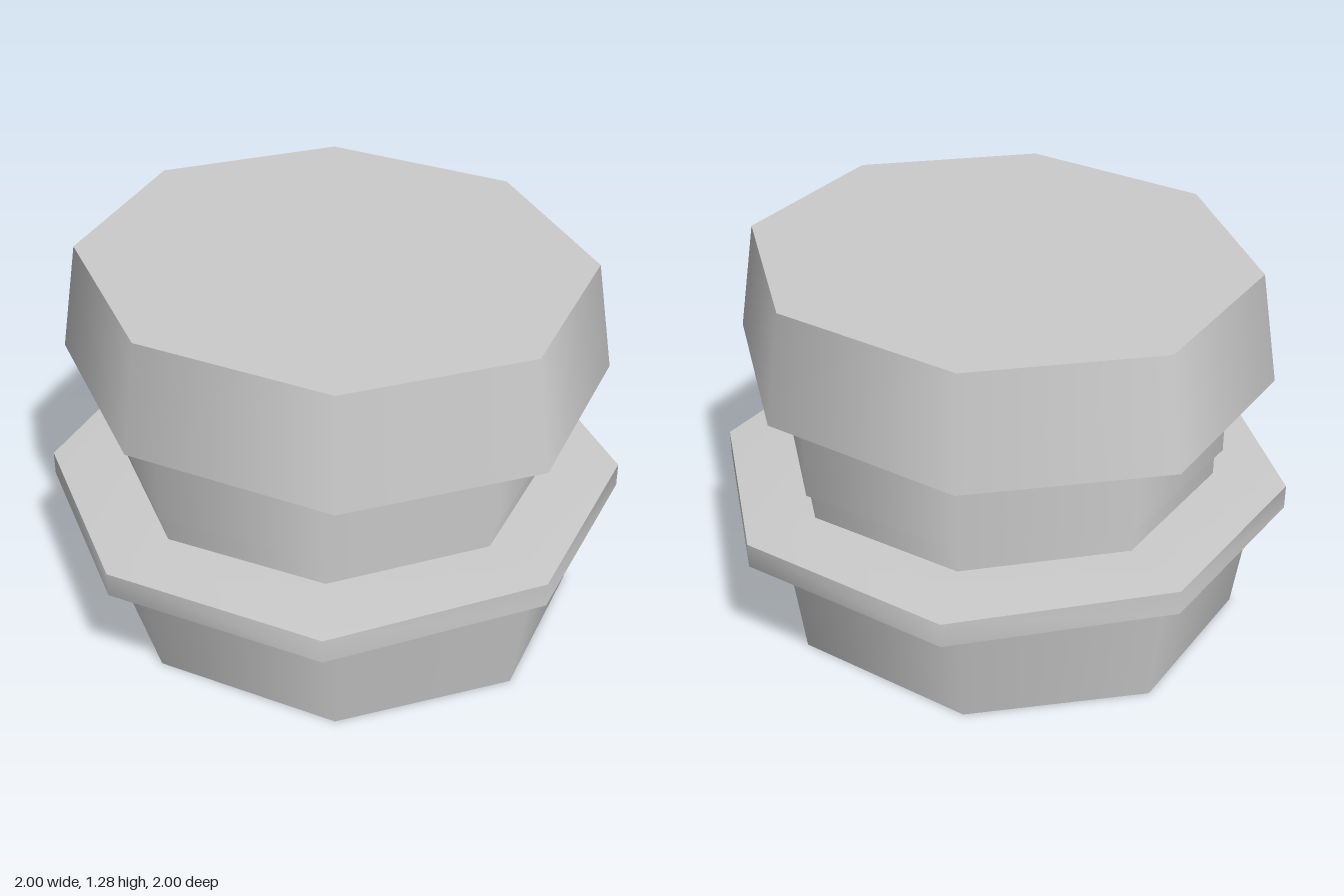
import * as THREE from 'three';
import { toCreasedNormals } from 'three/addons/utils/BufferGeometryUtils.js';

const SIDES = 8;

export function createModel() {
  const model = new THREE.Group();
  const material = new THREE.MeshStandardMaterial({ color: 0xcccccc });

  function add(name, geometry) {
    const mesh = new THREE.Mesh(geometry, material);
    mesh.name = name;
    model.add(mesh);
  }

  // Octagonal drum between two heights, optionally stretched along z
  function drum(name, bottomRadius, topRadius, y0, y1, stretch = 1) {
    const geometry = new THREE.CylinderGeometry(topRadius, bottomRadius, y1 - y0, SIDES);
    geometry.scale(1, 1, stretch);
    geometry.translate(0, (y0 + y1) / 2, 0);
    add(name, geometry);
  }

  // Thin flange with a slightly sloped rim that dips at the diagonal corners
  function flange() {
    const profile = [[0, 0.395], [0.86, 0.395], [1, 0.402], [1, 0.487], [0.78, 0.494], [0, 0.494]];
    const geometry = new THREE.LatheGeometry(profile.map(([r, y]) => new THREE.Vector2(r, y)), SIDES);
    const p = geometry.attributes.position;
    for (let i = 0; i < p.count; i++) {
      const x = p.getX(i), z = p.getZ(i);
      const onDiagonal = Math.abs(x * z) > 0.1;
      if (onDiagonal && Math.hypot(x, z) > 0.95) p.setY(i, p.getY(i) - 0.012);
    }
    add('flange', toCreasedNormals(geometry, Math.PI / 3));
  }

  drum('base', 0.805, 0.86, 0, 0.385, 1.082);
  flange();
  drum('neck', 0.747, 0.747, 0.5, 0.592);
  drum('collar', 0.775, 0.775, 0.596, 0.888);
  drum('cap', 0.895, 0.837, 0.902, 1.283, 1.08);

  return model;
}
